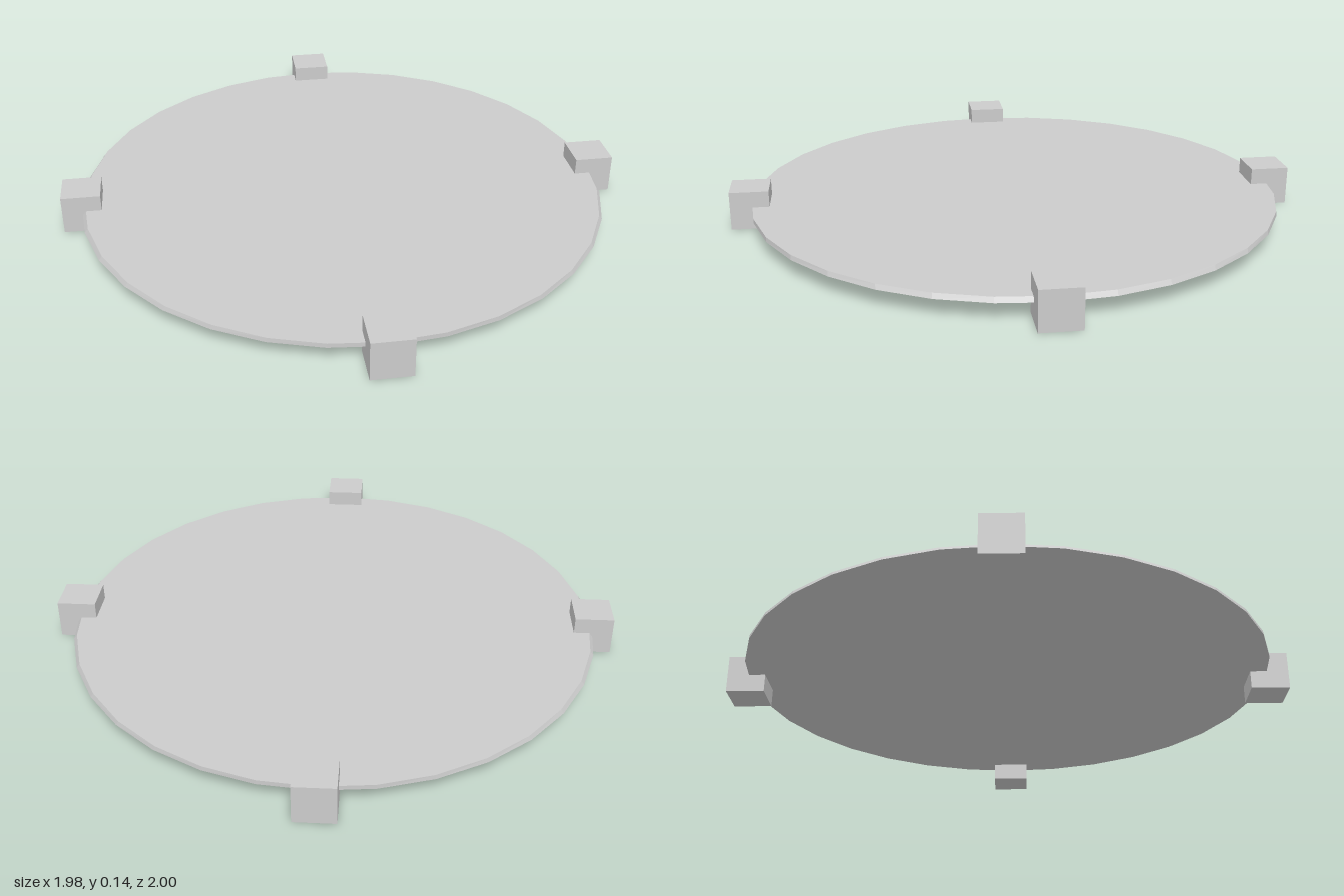
import * as THREE from 'three';

export function createModel() {
  const group = new THREE.Group();
  const material = new THREE.MeshStandardMaterial({ color: 0xcccccc, flatShading: true });

  // Thin round plate, its upper face slightly narrower along x
  const plateGeometry = new THREE.CylinderGeometry(0.93, 0.93, 0.015, 32);
  const pos = plateGeometry.attributes.position;
  for (let i = 0; i < pos.count; i++) {
    pos.setX(i, pos.getX(i) * (pos.getY(i) > 0 ? 0.982 : 0.995));
  }
  plateGeometry.computeVertexNormals();
  const plate = new THREE.Mesh(plateGeometry, material);
  plate.name = 'plate';
  plate.position.y = 0.071;
  group.add(plate);

  // Four cube feet gripping the rim
  const size = 0.135;
  const footGeometry = new THREE.BoxGeometry(size, size, size);
  const feet = {
    leftFoot: [0.92, 0],
    rightFoot: [-0.92, 0],
    frontFoot: [0, 0.9325],
    backFoot: [0, -0.9325],
  };
  for (const [name, [x, z]] of Object.entries(feet)) {
    const foot = new THREE.Mesh(footGeometry, material);
    foot.name = name;
    foot.position.set(x, size / 2, z);
    group.add(foot);
  }

  return group;
}
